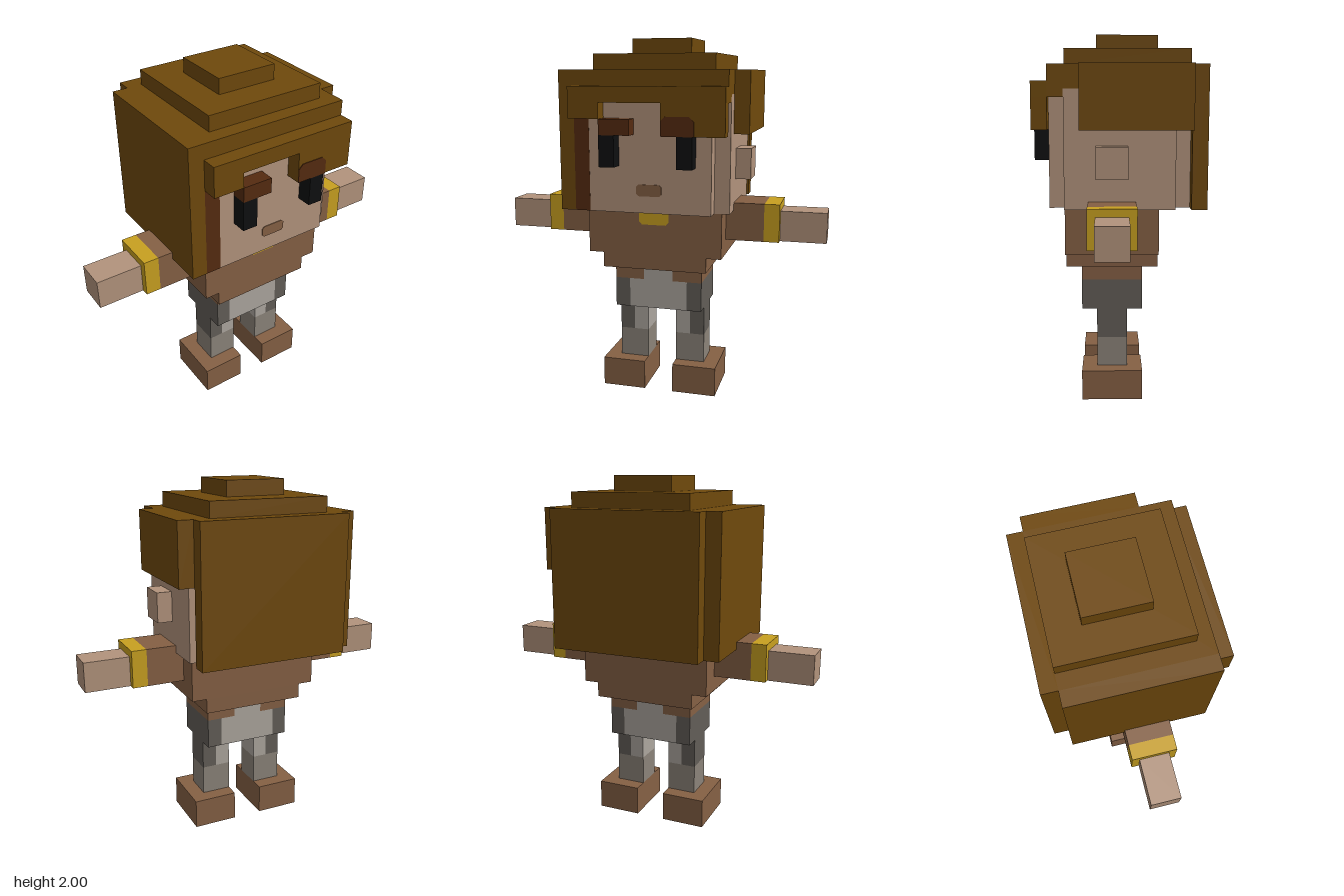
import * as THREE from 'three';

const U = 1 / 12; // one block of the character's grid

const mat = (name, color) => {
  const m = new THREE.MeshStandardMaterial({ color });
  m.name = name;
  return m;
};

export function createModel() {
  const hair = mat('hair brown', 0x6f490c);
  const darkBrown = mat('dark brown', 0x552b10);
  const skin = mat('skin', 0xb2937c);
  const leather = mat('leather brown', 0x856044);
  const gold = mat('gold', 0xc8a020);
  const lightGrey = mat('light grey', 0xaca69e);
  const midGrey = mat('mid grey', 0x8b8379);
  const darkGrey = mat('dark grey', 0x625d57);
  const black = mat('black', 0x0e0f10);

  const model = new THREE.Group();
  model.name = 'blockCharacter';
  const group = (name) => {
    const g = new THREE.Group();
    g.name = name;
    model.add(g);
    return g;
  };

  // Box between two limits on each axis, in blocks
  const box = (parent, name, material, [x0, x1], [y0, y1], [z0, z1]) => {
    const mesh = new THREE.Mesh(
      new THREE.BoxGeometry((x1 - x0) * U, (y1 - y0) * U, (z1 - z0) * U), material);
    mesh.position.set((x0 + x1) / 2 * U, (y0 + y1) / 2 * U, (z0 + z1) / 2 * U);
    mesh.name = name;
    parent.add(mesh);
  };

  // Same box on the left (s = 1) or right (s = -1) side
  const side = (s, [a, b]) => (s > 0 ? [a, b] : [-b, -a]);

  // Thin painted plate with cut corners, facing front
  const plate = (parent, name, material, [x0, x1], [y0, y1], z, cutTop, cutBottom) => {
    const s = new THREE.Shape();
    const t = cutTop, b = cutBottom;
    [[x0 + b, y0], [x1 - b, y0], [x1, y0 + b], [x1, y1 - t],
      [x1 - t, y1], [x0 + t, y1], [x0, y1 - t], [x0, y0 + b]]
      .forEach(([x, y], i) => (i ? s.lineTo(x * U, y * U) : s.moveTo(x * U, y * U)));
    const mesh = new THREE.Mesh(
      new THREE.ExtrudeGeometry(s, { depth: 0.004, bevelEnabled: false }), material);
    mesh.position.z = z * U;
    mesh.name = name;
    parent.add(mesh);
  };

  // Head with stepped corners
  const head = group('head');
  box(head, 'face', skin, [-4, 4], [13, 20.5], [-4.5, 4.5 - 0.01]);
  box(head, 'cheeks', skin, [-5, 5], [13, 20.5], [-3.5, 3.5]);
  box(head, 'ear', skin, [5, 6], [15, 17], [-0.5, 1.5]);
  for (const s of [1, -1]) box(head, 'eye', black, side(s, [2, 3]), [16, 18], [4.4, 5.5]);
  box(head, 'rightBrow', darkBrown, [-3, -1], [18, 19], [4.4, 5.5]);
  plate(head, 'leftBrow', darkBrown, [1, 3.1], [18, 19.2], 5.5, 0.3, 0);
  plate(head, 'mouth', leather, [-0.85, 0.8], [14.1, 14.85], 4.5, 0.15, 0.15);

  // Hair: cap, crown steps, side panels, back and fringe
  const hairdo = group('hair');
  box(hairdo, 'cap', hair, [-5, 5], [20, 22], [-4.5, 4.5]);
  box(hairdo, 'crown', hair, [-4, 4], [22, 23], [-4.5, 3.5]);
  box(hairdo, 'crownTop', hair, [-2, 2], [23, 24], [-2.5, 1.5]);
  box(hairdo, 'longSide', hair, [-6, -5], [13, 22], [-4.5, 4.5]);
  box(hairdo, 'shortSide', hair, [5, 6], [18, 22], [-4.5, 2.5]);
  box(hairdo, 'hairBack', hair, [-5, 5], [13, 22], [-5.5, -4.5]);
  box(hairdo, 'fringe', hair, [-5, 5], [20, 21], [4.5, 5.5]);
  box(hairdo, 'fringeLeft', hair, [1, 5], [18, 20], [4.5, 5.5]);
  box(hairdo, 'fringeRight', hair, [-5, -3], [19, 20], [4.5, 5.5]);
  box(hairdo, 'sideLock', darkBrown, [-5, -4], [13, 20], [3.5, 4.5]);

  // Tunic
  const torso = group('torso');
  box(torso, 'tunic', leather, [-4.5, 4.5], [10, 13], [-2.5, 3.5]);
  box(torso, 'tunicHem', leather, [-3.5, 3.5], [9, 10], [-2.5, 3.5]);
  plate(torso, 'collar', gold, [-1, 1], [12.05, 13], 3.5, 0, 0.2);

  // Hips
  const hips = group('hips');
  box(hips, 'hipCentre', lightGrey, [-2, 2], [6, 8], [-1.5, 2.5]);
  box(hips, 'hipTop', lightGrey, [-1, 1], [8, 9], [-1.5, 2.5]);

  for (const s of [1, -1]) {
    const label = s > 0 ? 'left' : 'right';

    // Arm held straight out
    const arm = group(label + 'Arm');
    box(arm, 'sleeve', leather, side(s, [4.5, 7]), [11, 13.5], [-1, 2]);
    box(arm, 'cuff', gold, side(s, [7, 8]), [11, 13.5], [-1, 2]);
    box(arm, 'hand', skin, side(s, [8, 11]), [11, 13], [-0.5, 1.5]);

    // Hip sides
    box(hips, 'hipSide', darkGrey, side(s, [2, 3]), [6, 8], [-1.5, 2.5]);
    box(hips, 'tunicTail', leather, side(s, [1, 3]), [8, 9], [-1.5, 2.5]);

    // Leg and shoe
    const leg = group(label + 'Leg');
    box(leg, 'innerThigh', lightGrey, side(s, [1, 2]), [4, 6], [-0.5, 1.5]);
    box(leg, 'outerThigh', darkGrey, side(s, [2, 3]), [4, 6], [-0.5, 1.5]);
    box(leg, 'shin', midGrey, side(s, [1, 3]), [2, 4], [-0.5, 1.5]);
    box(leg, 'shoe', leather, side(s, [1, 4]), [0, 2], [-1.5, 2.5]);
  }

  return model;
}
